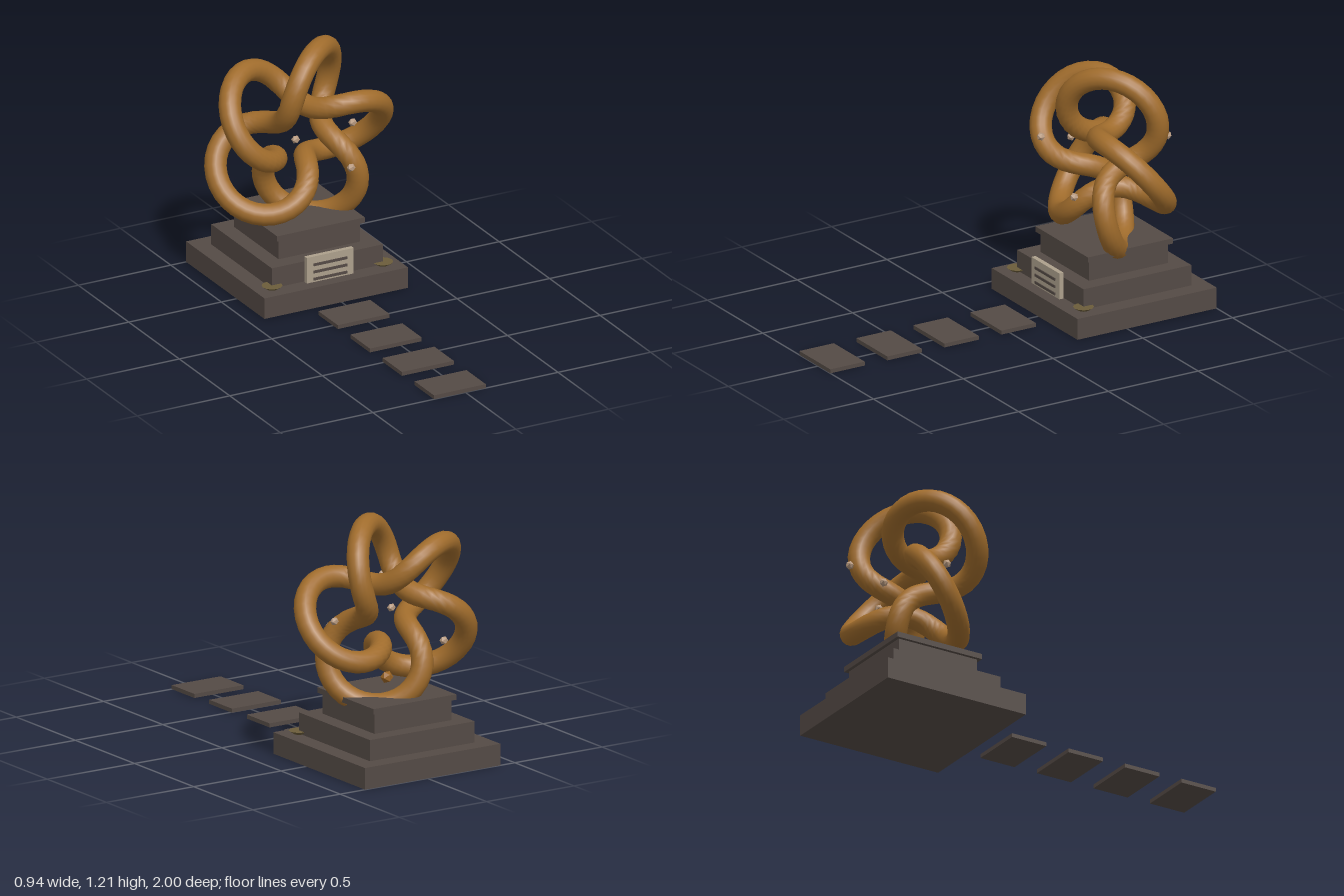
import * as THREE from 'three';

const material = (name, color, flat = false) => {
  const m = new THREE.MeshStandardMaterial({ color, flatShading: flat });
  m.name = name;
  return m;
};

export function createModel() {
  const stone = material('dark stone', 0x544a45);
  const bronze = material('bronze', 0xa06c2c);
  const plate = material('pale plate', 0xada08c);
  const brass = material('aged brass', 0x6b5d3a);
  const crystal = material('pale crystal', 0xb89a80, true);
  const amber = material('amber', 0x9a6424, true);

  const model = new THREE.Group();
  model.name = 'knotMonument';
  const CX = -0.03, CZ = -0.612, KNOT_Y = 0.726;

  const add = (name, geometry, mat, x, y, z) => {
    const mesh = new THREE.Mesh(geometry, mat);
    mesh.name = name;
    mesh.position.set(x, y, z);
    model.add(mesh);
    return mesh;
  };
  // Box placed by its bottom and top heights
  const slab = (name, w, d, y0, y1, z, mat, x = CX) =>
    add(name, new THREE.BoxGeometry(w, y1 - y0, d), mat, x, (y0 + y1) / 2, z);

  // Stepped plinth
  slab('plinthBase', 0.775, 0.775, 0, 0.106, CZ, stone);
  slab('plinthStep', 0.6, 0.6, 0.106, 0.21, CZ, stone);
  slab('plinthBlock', 0.44, 0.44, 0.21, 0.311, CZ, stone);
  slab('plinthCap', 0.474, 0.474, 0.311, 0.338, CZ, stone);

  // Five-lobed knot sculpture
  add('knot', new THREE.TorusKnotGeometry(0.298, 0.0535, 160, 16, 2, 5), bronze, CX, KNOT_Y, CZ);

  // Plaque with three dark bars
  slab('plaque', 0.253, 0.024, 0.106, 0.238, -0.296, plate);
  for (const y of [0.122, 0.159, 0.196]) {
    slab('plaqueBar', 0.18, 0.006, y - 0.0065, y + 0.0065, -0.282, stone);
  }

  // Flared dishes on the front corners
  for (const side of [-1, 1]) {
    add('cornerDish', new THREE.CylinderGeometry(0.05, 0.027, 0.016, 12), brass,
      CX + side * 0.299, 0.114, -0.312);
  }

  // Ring of small crystals around the knot
  for (let i = 0; i < 6; i++) {
    const a = i * Math.PI / 3;
    add('crystal', new THREE.IcosahedronGeometry(0.021, 0), crystal,
      CX + 0.3 * Math.cos(a), KNOT_Y + 0.12 * Math.sin(4 * a), CZ + 0.26 / 0.866 * Math.sin(a));
  }
  add('amberGem', new THREE.IcosahedronGeometry(0.031, 0), amber, CX, 0.406, CZ);

  // Path of stepping stones
  for (let i = 0; i < 4; i++) {
    slab('steppingStone', 0.28, 0.192, 0, 0.02, 0.904 - 0.3175 * i, stone);
  }
  return model;
}
